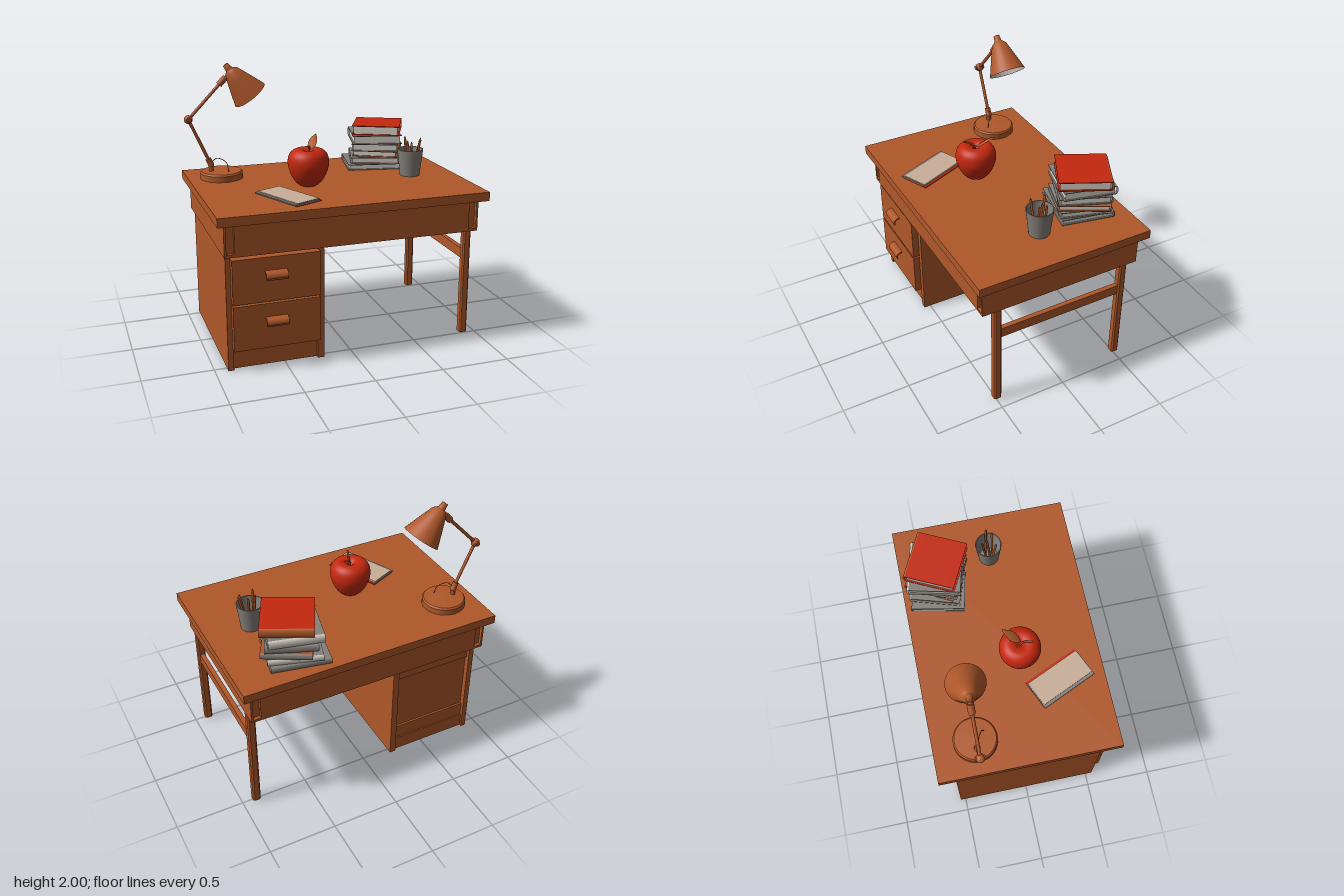
import * as THREE from 'three';

const mat = (name, color, double) => {
  const m = new THREE.MeshStandardMaterial({ color });
  m.name = name;
  if (double) m.side = THREE.DoubleSide;
  return m;
};
const V = (x, y, z) => new THREE.Vector3(x, y, z);

export function createModel() {
  const wood = mat('orangeWood', 0xb0582a, true);
  const red = mat('red', 0xc4280e);
  const grey = mat('grey', 0x85807a, true);
  const white = mat('paperWhite', 0xd6cfc5, true);
  const cream = mat('cream', 0xc9af99);

  const model = new THREE.Group();
  model.name = 'deskScene';
  const group = (name, parent = model) => {
    const g = new THREE.Group();
    g.name = name;
    parent.add(g);
    return g;
  };
  const add = (parent, name, geo, m) => {
    const mesh = new THREE.Mesh(geo, m);
    mesh.name = name;
    parent.add(mesh);
    return mesh;
  };
  // box given by its minimum and maximum corners
  const box = (parent, name, m, x0, x1, y0, y1, z0, z1) => {
    const b = add(parent, name, new THREE.BoxGeometry(x1 - x0, y1 - y0, z1 - z0), m);
    b.position.set((x0 + x1) / 2, (y0 + y1) / 2, (z0 + z1) / 2);
    return b;
  };
  // round bar between two points
  const rod = (parent, name, m, a, b, r0, r1 = r0, sides = 12) => {
    const c = add(parent, name, new THREE.CylinderGeometry(r1, r0, a.distanceTo(b), sides), m);
    c.position.copy(a).lerp(b, 0.5);
    c.quaternion.setFromUnitVectors(V(0, 1, 0), b.clone().sub(a).normalize());
    return c;
  };
  const ball = (parent, name, m, p, r) =>
    add(parent, name, new THREE.SphereGeometry(r, 16, 12), m).position.copy(p);
  const lathe = (pts, n = 32) =>
    new THREE.LatheGeometry(pts.map(p => new THREE.Vector2(p[0], p[1])), n);

  // Desk top and apron with set-back corners
  const desk = group('desk');
  box(desk, 'deskTop', wood, -0.975, 0.985, 1.08, 1.145, -0.66, 0.66);
  box(desk, 'apron', wood, -0.855, 0.855, 0.85, 1.08, -0.61, 0.61);
  for (const s of [-1, 1]) {
    const [a, b] = s < 0 ? [-0.925, -0.855] : [0.855, 0.925];
    box(desk, 'apronEnd', wood, a, b, 0.87, 1.08, -0.585, 0.585);
    box(desk, 'apronEndFoot', wood, a, b, 0.85, 0.87, -0.61, 0.61);
    box(desk, 'apronSide', wood, s < 0 ? -0.925 : 0.91, s < 0 ? -0.91 : 0.925, 0.85, 1.08, -0.61, 0.61);
  }

  // Legs and the bar between them
  const legShape = new THREE.Shape();
  const lw = 0.029, lc = 0.01;
  [[-lw + lc, -lw], [lw - lc, -lw], [lw, -lw + lc], [lw, lw - lc], [lw - lc, lw], [-lw + lc, lw], [-lw, lw - lc], [-lw, -lw + lc]]
    .forEach(([x, y], i) => (i ? legShape.lineTo(x, y) : legShape.moveTo(x, y)));
  for (const z of [0.492, -0.507]) {
    const leg = add(desk, 'leg', new THREE.ExtrudeGeometry(legShape, { depth: 0.83, bevelEnabled: false }), wood);
    leg.rotation.x = -Math.PI / 2;
    leg.position.set(0.897, 0.02, z);
  }
  box(desk, 'legBar', wood, 0.88, 0.915, 0.595, 0.67, -0.49, 0.475);

  // Drawer pedestal, open underneath
  const pedestal = group('pedestal', desk);
  box(pedestal, 'sidePanel', wood, -0.91, -0.87, 0.005, 0.85, -0.54, 0.55);
  box(pedestal, 'sidePanel', wood, -0.262, -0.215, 0.005, 0.85, -0.54, 0.55);
  box(pedestal, 'body', wood, -0.87, -0.262, 0.165, 0.85, -0.5, 0.54);
  box(pedestal, 'kickBoard', wood, -0.87, -0.262, 0.01, 0.165, 0.5, 0.53);
  box(pedestal, 'backRail', wood, -0.87, -0.262, 0.7, 0.85, -0.515, -0.5);
  box(pedestal, 'backRail', wood, -0.87, -0.262, 0.12, 0.23, -0.515, -0.49);
  box(pedestal, 'backFootRail', wood, -0.87, -0.262, 0.01, 0.12, -0.525, -0.49);
  const cup = new THREE.Shape();
  cup.moveTo(0.598, 0.06);
  cup.quadraticCurveTo(0.652, 0.06, 0.652, 0.018);
  cup.lineTo(0.64, 0);
  cup.lineTo(0.636, 0.004);
  cup.quadraticCurveTo(0.646, 0.05, 0.598, 0.052);
  for (const [y0, y1, hy] of [[0.505, 0.825, 0.67], [0.165, 0.492, 0.335]]) {
    box(pedestal, 'drawerFront', wood, -0.875, -0.258, y0, y1, 0.53, 0.6);
    const h = add(pedestal, 'handle', new THREE.ExtrudeGeometry(cup, { depth: 0.155, bevelEnabled: false, curveSegments: 8 }), wood);
    h.rotation.y = -Math.PI / 2; // profile depth now runs along x
    h.position.set(-0.497, hy, 0);
  }

  // Desk lamp
  const lamp = group('lamp');
  const lz = -0.35;
  const base = add(lamp, 'lampBase', lathe([[0, 0], [0.158, 0], [0.158, 0], [0.158, 0.043], [0.158, 0.043], [0.148, 0.055], [0.148, 0.055], [0, 0.06]], 40), wood);
  base.position.set(-0.727, 1.145, lz);
  const foot = V(-0.805, 1.25, lz), elbow = V(-0.96, 1.6, lz), wrist = V(-0.69, 1.88, lz);
  rod(lamp, 'lampPost', wood, V(-0.805, 1.2, lz), foot, 0.018);
  rod(lamp, 'lowerArm', wood, foot, elbow, 0.012);
  rod(lamp, 'lowerSleeve', wood, foot, foot.clone().lerp(elbow, 0.13), 0.022);
  rod(lamp, 'upperArm', wood, elbow, wrist, 0.012);
  rod(lamp, 'upperSleeve', wood, elbow.clone().lerp(wrist, 0.87), wrist.clone().lerp(elbow, -0.06), 0.024);
  ball(lamp, 'footJoint', wood, foot, 0.024);
  ball(lamp, 'elbowJoint', wood, elbow, 0.032);
  rod(lamp, 'elbowPin', wood, V(-0.96, 1.6, lz - 0.035), V(-0.96, 1.6, lz + 0.035), 0.018);
  rod(lamp, 'shadeBracket', wood, wrist, V(-0.63, 1.92, lz), 0.018);
  const cord = new THREE.CatmullRomCurve3([V(-0.8, 1.27, lz), V(-0.76, 1.3, lz + 0.02), V(-0.7, 1.27, lz + 0.05), V(-0.685, 1.2, lz + 0.07)]);
  add(lamp, 'cord', new THREE.TubeGeometry(cord, 20, 0.003, 6), wood);
  const shade = group('shade', lamp);
  shade.position.set(-0.495, 1.757, lz);
  shade.rotation.z = Math.atan2(0.609, 0.793); // opening faces down and to the left side
  add(shade, 'shadeOuter', lathe([[0.137, 0], [0.108, 0.08], [0.077, 0.165], [0.055, 0.222], [0.03, 0.245], [0.026, 0.25], [0.022, 0.29], [0, 0.292]]), wood);
  add(shade, 'shadeInner', lathe([[0.134, 0.001], [0.104, 0.08], [0.073, 0.165], [0.05, 0.218], [0, 0.235]]), white);

  // Apple with stem and leaf
  const apple = group('apple');
  apple.position.set(-0.18, 1.145, 0.085);
  const outline = new THREE.SplineCurve([[0, 0.022], [0.04, 0.003], [0.085, 0.025], [0.125, 0.085], [0.149, 0.165], [0.138, 0.235], [0.095, 0.272], [0.045, 0.268], [0.012, 0.24], [0, 0.232]]
    .map(p => new THREE.Vector2(...p)));
  add(apple, 'appleBody', new THREE.LatheGeometry(outline.getPoints(40).map(p => p.set(Math.max(p.x, 0), p.y)), 40), red);
  const stem = new THREE.CatmullRomCurve3([V(0, 0.23, 0), V(0.002, 0.275, 0.02), V(-0.008, 0.3, 0.05), V(-0.02, 0.312, 0.085)]);
  add(apple, 'stem', new THREE.TubeGeometry(stem, 14, 0.007, 8), wood);
  const leafGeo = new THREE.PlaneGeometry(1, 1, 8, 4);
  const lp = leafGeo.attributes.position;
  for (let i = 0; i < lp.count; i++) {
    const t = lp.getX(i) + 0.5, w = lp.getY(i) * 0.068 * Math.sin(Math.PI * Math.pow(t, 0.8));
    lp.setXYZ(i, 0.01 + 0.085 * t + 0.75 * w, 0.265 + 0.095 * Math.sin(t * 1.35) - 2 * Math.abs(w) * 0.15, 0.005 - 0.12 * t + 0.65 * w);
  }
  leafGeo.computeVertexNormals();
  add(apple, 'leaf', leafGeo, wood);

  // Book: two covers, page block and a rounded spine on the far side
  const book = (name, x, z, turn, y0, y1, w, d, cover, spine, pages) => {
    const b = group(name);
    b.position.set(x, y0, z);
    b.rotation.y = turn;
    const h = y1 - y0, c = 0.006;
    box(b, 'lowerCover', cover, -w / 2, w / 2, 0, c, -d / 2, d / 2);
    box(b, 'upperCover', cover, -w / 2, w / 2, h - c, h, -d / 2, d / 2);
    box(b, 'pages', pages, -w / 2 + 0.012, w / 2 - 0.012, c, h - c, -d / 2 + 0.005, d / 2 - 0.012);
    const s = add(b, 'spine', new THREE.CylinderGeometry(h / 2, h / 2, w, 16, 1, false, 0, Math.PI), spine);
    s.rotation.set(0, Math.PI / 2, Math.PI / 2, 'YXZ');
    s.rotation.set(0, 0, 0);
    s.quaternion.setFromRotationMatrix(new THREE.Matrix4().makeBasis(V(0, 0, -1), V(1, 0, 0), V(0, -1, 0)));
    s.scale.x = 0.5;
    s.position.set(0, h / 2, -d / 2);
  };
  const stack = [
    [0.49, -0.38, -0.2, 1.146, 1.19, 0.42, 0.38, grey, grey, white],
    [0.51, -0.38, -0.3, 1.191, 1.238, 0.38, 0.36, grey, white, white],
    [0.54, -0.385, -0.5, 1.239, 1.285, 0.35, 0.36, wood, grey, white],
    [0.52, -0.38, -0.38, 1.286, 1.342, 0.36, 0.36, grey, grey, white],
    [0.515, -0.385, -0.24, 1.343, 1.41, 0.38, 0.37, grey, white, white],
    [0.535, -0.375, -0.46, 1.413, 1.483, 0.365, 0.36, red, wood, white],
  ];
  stack.forEach((s, i) => book('book' + (i + 1), ...s));

  // Flat notebook with a red edge
  const note = group('notebook');
  note.position.set(-0.407, 1.146, 0.332);
  note.rotation.y = 0.42;
  box(note, 'backCover', red, -0.105, 0.118, 0, 0.006, -0.22, 0.22);
  box(note, 'frontCover', grey, -0.118, 0.095, 0.006, 0.014, -0.22, 0.22);
  box(note, 'page', cream, -0.095, 0.1, 0.006, 0.02, -0.213, 0.213);

  // Pencil cup
  const holder = group('pencilCup');
  holder.position.set(0.645, 1.146, 0.025);
  add(holder, 'cup', lathe([[0, 0], [0.074, 0], [0.074, 0], [0.098, 0.2], [0.098, 0.2], [0.091, 0.2], [0.091, 0.2], [0.068, 0.01], [0.068, 0.01], [0, 0.01]]), grey);
  [[-0.03, 0.02, -0.045, 0.05, 0.275], [0.02, 0.03, 0.06, 0.04, 0.265], [-0.01, -0.02, -0.025, -0.05, 0.29], [0.03, -0.02, 0.085, 0.0, 0.28], [0, 0.01, 0.015, -0.01, 0.25]]
    .forEach(([x0, z0, x1, z1, y]) => {
      const a = V(x0, 0.012, z0), b = V(x1, y, z1);
      rod(holder, 'pencil', wood, a, a.clone().lerp(b, 0.92), 0.009, 0.009, 6);
      rod(holder, 'pencilTip', wood, a.clone().lerp(b, 0.92), b, 0.009, 0.002, 6);
    });

  return model;
}
